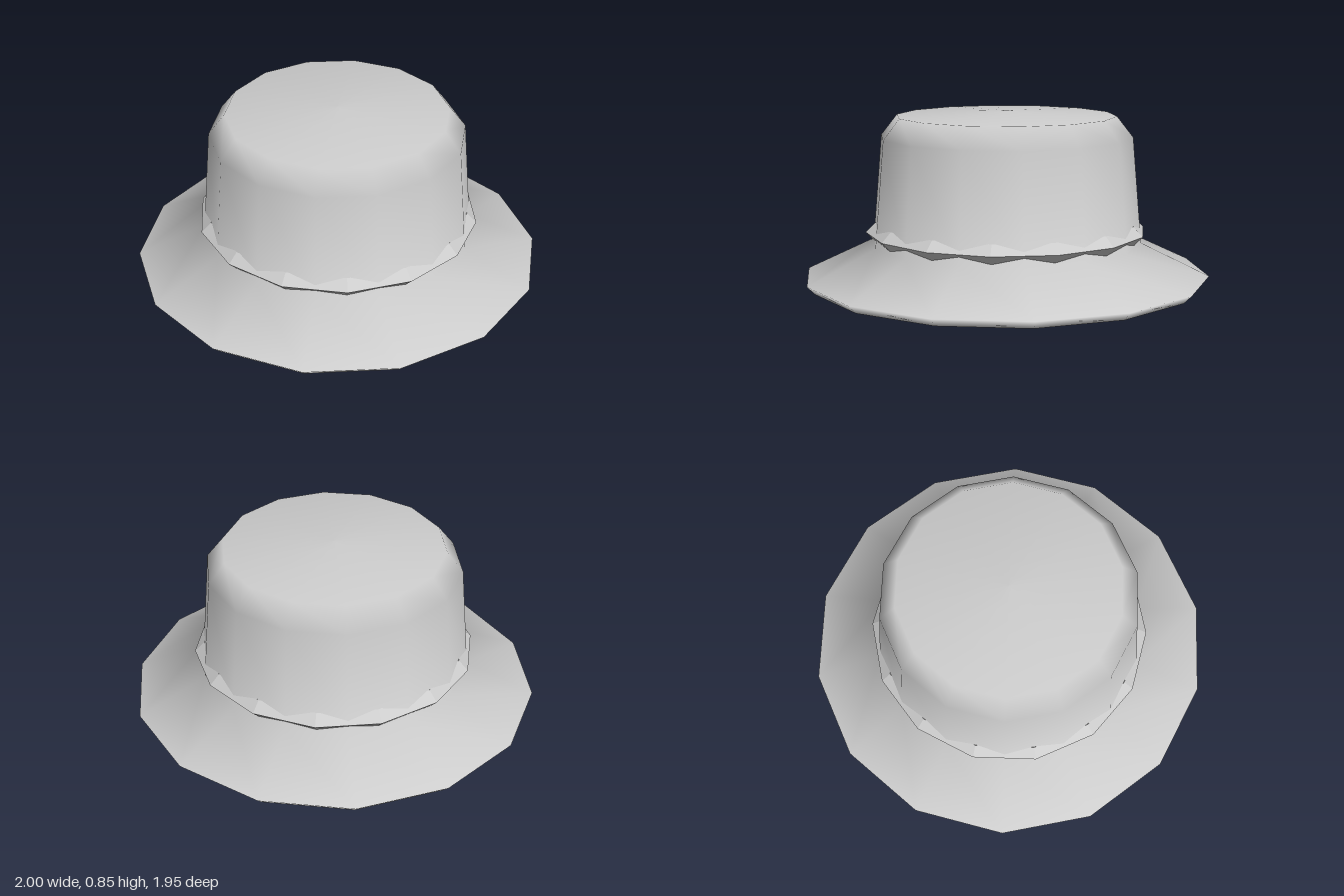
import * as THREE from 'three';

const SIDES = 14;

export function createModel() {
  const hat = new THREE.Group();
  hat.name = 'hat';
  const felt = new THREE.MeshStandardMaterial({ color: 0xcccccc });
  felt.name = 'greyFelt';

  const add = (name, geometry) => {
    const mesh = new THREE.Mesh(geometry, felt);
    mesh.name = name;
    hat.add(mesh);
  };

  // Smooth turned body with corners on the x axis
  const profile = [
    [0, 0.19], [0.96, 0],       // hollow underside
    [1, 0.04], [0.665, 0.2],    // bevelled rim and sloping brim
    [0.62, 0.72], [0.54, 0.822], // tapered crown and shoulder
    [0, 0.845],                 // slightly domed top
  ].map(([r, y]) => new THREE.Vector2(r, y));
  add('brimAndCrown', new THREE.LatheGeometry(profile, SIDES, Math.PI / 2));

  // Faceted diamond-section band, its corners between those of the crown
  const band = new THREE.TorusGeometry(0.643, 0.048, 4, SIDES)
    .rotateZ(Math.PI / 2).rotateX(Math.PI / 2).translate(0, 0.257, 0).toNonIndexed();
  band.computeVertexNormals();
  add('band', band);

  return hat;
}
